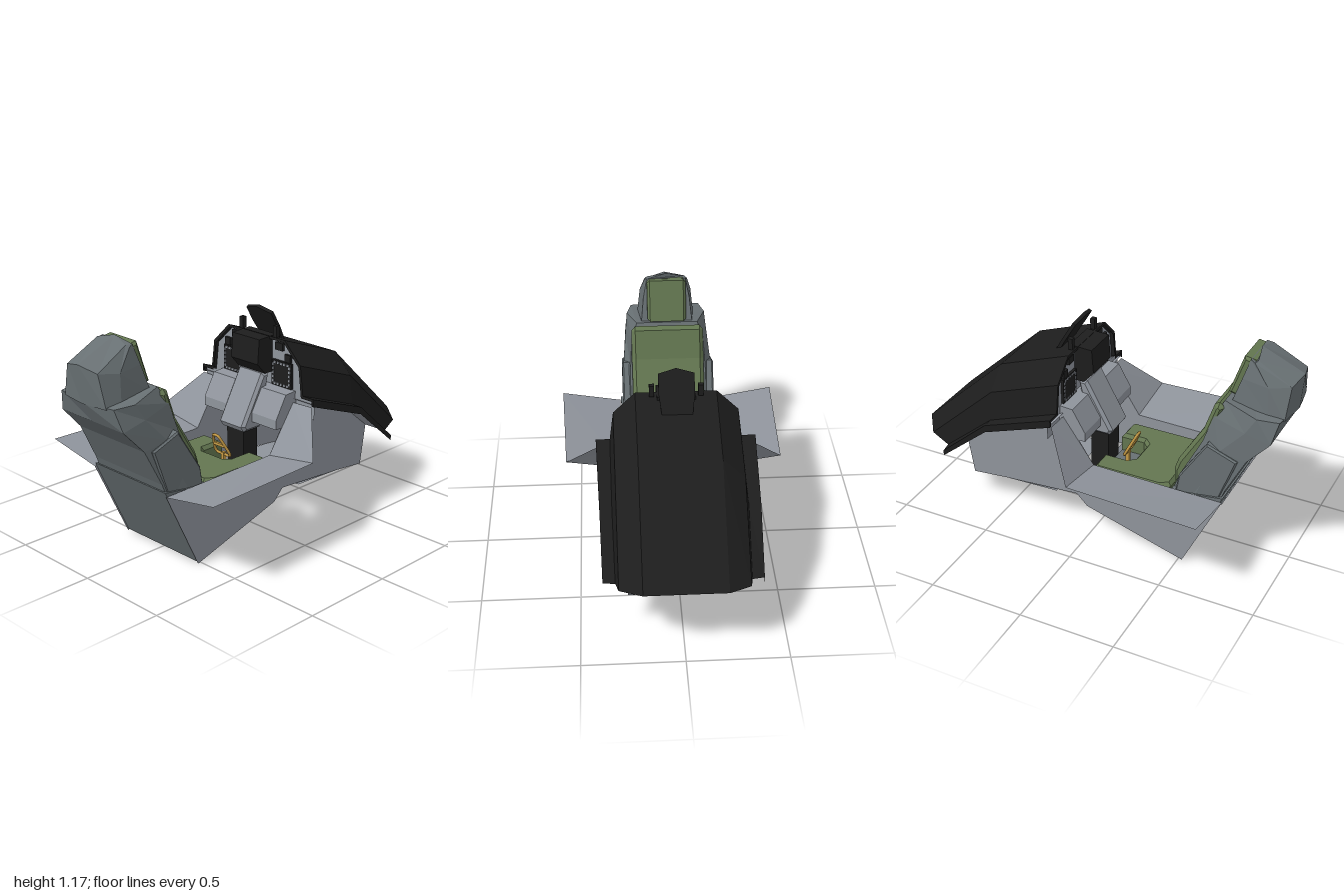
import * as THREE from 'three';

const paint = (name, color) => new THREE.MeshStandardMaterial({ name, color, side: THREE.DoubleSide });

// Skin over rows of [x, y, z] points, faceted; closed rows wrap, caps close the first and last row
function skin(rows, closed = false) {
  const p = [];
  const n = rows[0].length;
  for (let i = 0; i < rows.length - 1; i++)
    for (let j = 0; j < (closed ? n : n - 1); j++) {
      const k = (j + 1) % n;
      const [a, b, c, d] = [rows[i][j], rows[i][k], rows[i + 1][k], rows[i + 1][j]];
      p.push(...a, ...b, ...c, ...a, ...c, ...d);
    }
  if (closed) {
    const first = rows[0], last = rows[rows.length - 1];
    for (let j = 1; j < n - 1; j++)
      p.push(...first[0], ...first[j + 1], ...first[j], ...last[0], ...last[j], ...last[j + 1]);
  }
  const g = new THREE.BufferGeometry();
  g.setAttribute('position', new THREE.Float32BufferAttribute(p, 3));
  g.computeVertexNormals();
  return g;
}

// Side profile of [z, y] points extruded from x0 to x1
function prism(profile, x0, x1, bevel = 0) {
  const shape = new THREE.Shape(profile.map(([z, y]) => new THREE.Vector2(z, y)));
  const g = new THREE.ExtrudeGeometry(shape, {
    depth: x1 - x0 - 2 * bevel, bevelEnabled: bevel > 0, bevelSize: bevel,
    bevelThickness: bevel, bevelOffset: -bevel, bevelSegments: 1,
  });
  return g.rotateY(-Math.PI / 2).translate(x1 - bevel, 0, 0);
}

export function createModel() {
  const model = new THREE.Group();
  const tubGrey = paint('tubGrey', 0x8f949c);
  const seatGrey = paint('seatGrey', 0x687073);
  const black = paint('cowlBlack', 0x1d1d1d);
  const green = paint('cushionGreen', 0x637650);
  const amber = paint('handleAmber', 0xc59a45);

  const add = (name, geo, mat, parent = model) => {
    const m = new THREE.Mesh(geo, mat);
    m.name = name;
    parent.add(m);
    return m;
  };
  const box = (name, w, h, d, x, y, z, mat, parent) => {
    const m = add(name, new THREE.BoxGeometry(w, h, d), mat, parent);
    m.position.set(x, y, z);
    return m;
  };
  const flip = ([x, y, z]) => [-x, y, z];

  // Tub walls: top and bottom point at each station, rear to nose
  const wall = [
    [[.265, .42, .72], [.265, 0, .52]],
    [[.265, .43, .02], [.265, .16, -.02]],
    [[.265, .69, -.15], [.265, .22, -.08]],
    [[.265, .55, -.54], [.265, .19, -.5]],
    [[.265, .39, -.735], [.265, .17, -.7]],
  ];
  // Sills: inner and outer edge, rising to the cowl at the front
  const sill = [
    [[.265, .42, .72], [.585, .475, .72]],
    [[.265, .43, .02], [.56, .475, .02]],
    [[.265, .67, -.15], [.39, .675, -.15]],
  ];
  // Shelves closing the gap between wall and cowl
  const shelf = [
    [[.265, .69, -.15], [.39, .69, -.15]],
    [[.265, .55, -.54], [.385, .55, -.54]],
    [[.265, .39, -.735], [.38, .39, -.735]],
  ];
  for (const side of ['left', 'right']) {
    const m = side === 'left' ? (rows) => rows.map((r) => [...r].reverse()) : (rows) => rows.map((r) => r.map(flip));
    add(side + 'TubWall', skin(m(wall)), tubGrey);
    add(side + 'Sill', skin(m(sill)), tubGrey);
    add(side + 'Shelf', skin(m(shelf)), tubGrey);
  }
  const across = (pts) => skin(pts.map((p) => [p, flip(p)]));
  add('tubNose', across(wall[4]), tubGrey);
  add('footwellFloor', across([[.265, .2, -.2], wall[3][1], wall[4][1]]), tubGrey);
  add('floorStrip', across([wall[1][1], wall[2][1]]), tubGrey);

  // Cowl: half arch swept forward and down, with a staggered nose edge
  const archX = [.2, .31, .33, .4, .4];
  const drop = [0, -.11, -.265, -.265, -.305];
  const mirrorRow = (half) => [...half.map(flip).reverse(), ...half];
  const rear = archX.map((x, i) => [x, .985 + drop[i], -.15]);
  const mid = archX.map((x, i) => [i > 2 ? .39 : x, .84 + drop[i], -.54]);
  const nose = [[.2, .41, -1], [.31, .38, -.92], [.325, .34, -.82], [.385, .34, -.81], [.385, .31, -.81]];
  add('cowl', skin([nose, mid, rear].map(mirrorRow)), black);
  const lip = [[.193, .97, -.15], [.297, .863, -.15], [.317, .705, -.15], [.388, .705, -.15], [.388, .68, -.15]];
  add('cowlRim', skin([rear, lip].map(mirrorRow)), black);

  // Instrument panel
  const arch = new THREE.Shape([[-.39, .6], [.39, .6], [.39, .705], [.318, .705], [.3, .86], [.195, .965], [-.195, .965], [-.3, .86], [-.318, .705], [-.39, .705]]
    .map(([x, y]) => new THREE.Vector2(x, y)));
  add('bulkhead', new THREE.ShapeGeometry(arch).translate(0, 0, -.172), tubGrey);
  add('dash', prism([[-.17, .55], [-.03, .55], [-.03, .6], [-.1, .72], [-.17, .725]], -.26, .26), tubGrey);
  add('centreConsole', prism([[-.1, .5], [.015, .5], [.035, .53], [-.11, .79], [-.16, .79]], -.09, .09, .015), tubGrey);
  box('pedestal', .12, .28, .1, 0, .36, -.05, black);
  add('sightHousing', prism([[-.2, .79], [-.12, .79], [-.065, .85], [-.075, .98], [-.2, .985]], -.095, .095), black);

  for (const s of [1, -1]) {
    const display = new THREE.Group();
    display.name = s > 0 ? 'leftDisplay' : 'rightDisplay';
    display.position.set(s * .175, .797, -.163);
    model.add(display);
    box('displayFrame', .135, .135, .014, 0, 0, 0, black, display);
    for (let i = -2; i <= 2; i++)
      for (const e of [-1, 1]) {
        box('sideButton', .011, .013, .006, e * .056, i * .022, .008, tubGrey, display);
        box('edgeButton', .013, .011, .006, i * .022, e * .056, .008, tubGrey, display);
      }
    box('gauge', .04, .04, .015, s * .215, .888, -.163, black);
    box('upperGauge', .05, .04, .015, s * .155, .94, -.163, black);
    box('sightPost', .025, .06, .025, s * .12, 1.01, -.175, black);
  }

  // Sight plate, leaning back and narrowing at its foot
  const plate = new THREE.Shape([[-.075, 0], [.075, 0], [.088, .1], [.088, .2], [0, .225], [-.088, .2], [-.088, .1]]
    .map(([x, y]) => new THREE.Vector2(x, y)));
  const sight = add('sightPlate', new THREE.ExtrudeGeometry(plate, { depth: .018, bevelEnabled: false }), black);
  sight.position.set(0, .935, -.285);
  sight.rotation.x = .54;

  // Seat shell: sections from [width, y, z] at front, middle, rear and rear centre
  const section = (f, m, r, c) => [f, m, r, c, flip(r), flip(m), flip(f)];
  add('seatBack', skin([
    section([.21, .36, .43], [.255, .36, .55], [.245, .36, .68], [0, .36, .68]),
    section([.21, .48, .47], [.25, .48, .6], [.245, .48, .725], [0, .48, .725]),
    section([.205, .7, .58], [.24, .69, .68], [.235, .67, .82], [0, .67, .82]),
    section([.195, .85, .63], [.225, .82, .8], [.222, .79, .93], [0, .79, .93]),
    section([.165, .935, .67], [.215, .905, .85], [.19, .9, .955], [0, .9, .985]),
  ], true), seatGrey);
  add('headrest', skin([
    section([.14, .91, .69], [.155, .9, .88], [.15, .89, .965], [0, .89, .985]),
    section([.125, 1.05, .735], [.14, 1.04, .87], [.11, 1.055, .975], [0, 1.08, 1]),
    section([.105, 1.15, .765], [.115, 1.14, .79], [.1, 1.15, .8], [0, 1.175, .78]),
  ], true), seatGrey);
  add('seatPan', prism([[-.02, .165], [.52, .01], [.72, .44], [.44, .4], [.42, .3], [0, .3]], -.26, .26), seatGrey);
  for (const s of [1, -1]) {
    const x0 = s > 0 ? .2 : -.25;
    add(s > 0 ? 'leftSidePlate' : 'rightSidePlate',
      prism([[.45, .32], [.66, .32], [.78, .66], [.62, .72], [.48, .5]], x0, x0 + .05, .008), seatGrey);
  }

  // Cushions
  const pad = new THREE.Shape([[-.235, .02], [-.215, 0], [-.1, 0], [-.1, .13], [-.07, .16], [.07, .16], [.1, .13], [.1, 0], [.215, 0], [.235, .02], [.235, .37], [.2, .42], [-.2, .42], [-.235, .37]]
    .map(([x, z]) => new THREE.Vector2(x, -z)));
  add('seatCushion', new THREE.ExtrudeGeometry(pad, {
    depth: .08, bevelEnabled: true, bevelSize: .015, bevelOffset: -.015, bevelThickness: .02, bevelSegments: 1,
  }).rotateX(-Math.PI / 2).translate(0, .3, 0), green);
  add('backCushion', prism([[.43, .39], [.5, .4], [.55, .55], [.63, .74], [.68, .9], [.65, .925], [.625, .91], [.575, .76], [.45, .55], [.43, .49]], -.195, .195, .02), green);
  add('headCushion', prism([[.66, .945], [.72, .93], [.79, 1.145], [.73, 1.155]], -.105, .105, .014), green);

  // Pull handle between the legs
  const loop = new THREE.CatmullRomCurve3([[-.02, .495, .14], [-.05, .41, .1], [-.045, .38, .085], [.045, .38, .085], [.05, .41, .1], [.02, .495, .14]]
    .map((p) => new THREE.Vector3(...p)), true, 'catmullrom', .2);
  add('pullHandle', new THREE.TubeGeometry(loop, 30, .008, 6, true), amber);
  box('handleBar', .075, .014, .014, 0, .44, .115, amber);
  box('handleStem', .02, .1, .02, 0, .34, .085, amber);

  return model;
}
